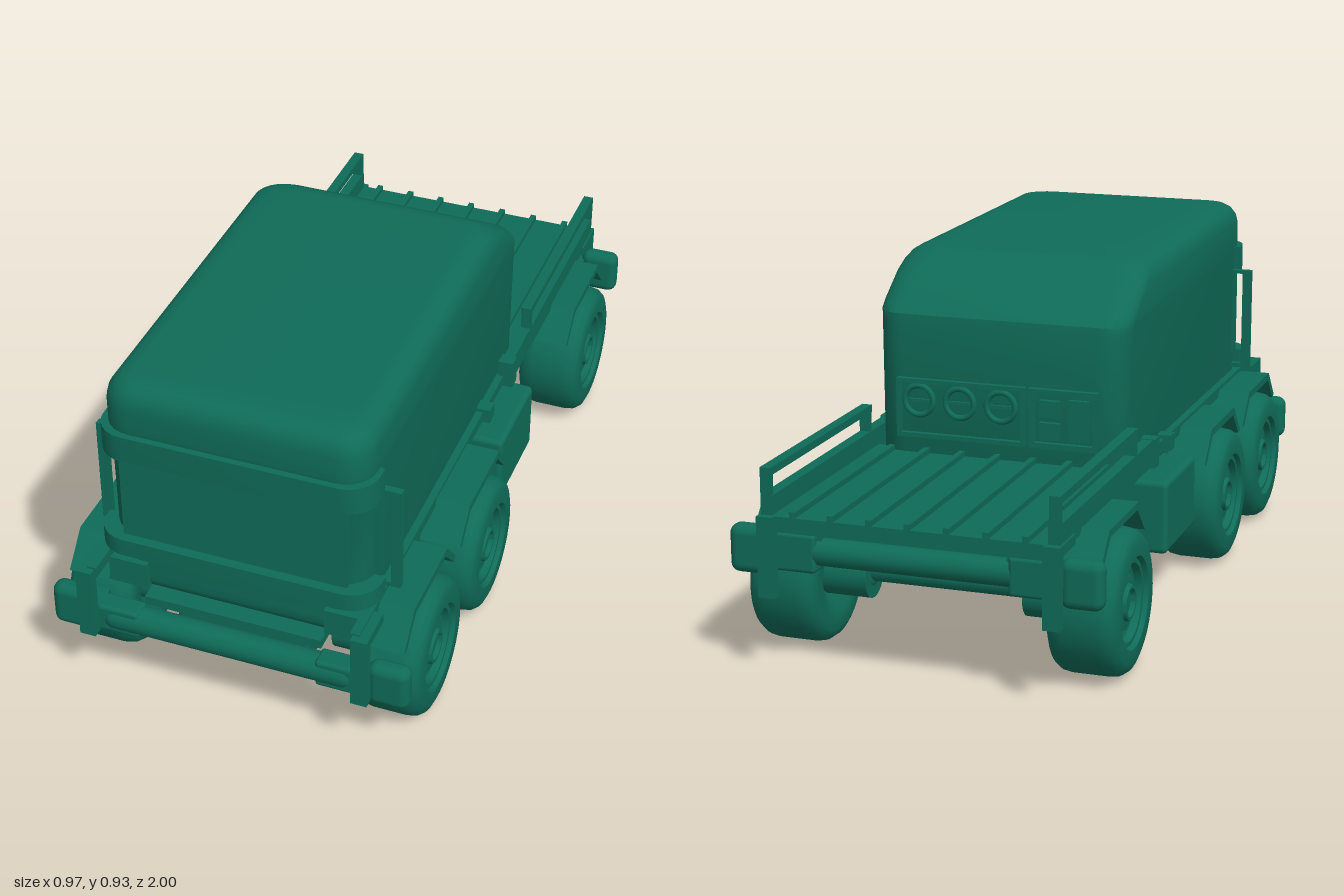
import * as THREE from 'three';
import { toCreasedNormals } from 'three/addons/utils/BufferGeometryUtils.js';
import { RoundedBoxGeometry } from 'three/addons/geometries/RoundedBoxGeometry.js';

const paint = new THREE.MeshStandardMaterial({ color: 0x0f6b58 });

// Outline of a rounded rectangle in x and z, running from +x towards +z
function ringPoints(hw, zf, zb, r, steps = 6) {
  const corners = [[hw - r, zf - r], [r - hw, zf - r], [r - hw, zb + r], [hw - r, zb + r]];
  const pts = [];
  corners.forEach(([cx, cz], k) => {
    for (let i = 0; i <= steps; i++) {
      const a = (k + i / steps) * Math.PI / 2;
      pts.push([cx + r * Math.cos(a), cz + r * Math.sin(a)]);
    }
  });
  return pts;
}

// Closed skin over rounded rectangles stacked in y: [y, halfWidth, zFront, zBack, radius]
function loft(sections) {
  const pos = [], idx = [];
  const rings = sections.map(([y, ...s]) => ringPoints(...s).map(([x, z]) => [x, y, z]));
  rings.forEach(r => r.forEach(p => pos.push(...p)));
  const n = rings[0].length, last = (rings.length - 1) * n;
  for (let i = 0; i < rings.length - 1; i++) {
    for (let j = 0; j < n; j++) {
      const a = i * n + j, b = i * n + (j + 1) % n;
      idx.push(a, a + n, b, b, a + n, b + n);
    }
  }
  for (let j = 1; j < n - 1; j++) {
    idx.push(0, j, j + 1, last, last + j + 1, last + j);
  }
  const g = new THREE.BufferGeometry();
  g.setAttribute('position', new THREE.Float32BufferAttribute(pos, 3));
  g.setIndex(idx);
  return toCreasedNormals(g, 0.6);
}

// Side profile given as [z, y], extruded from x0 to x1
function sideExtrude(points, x0, x1) {
  const shape = new THREE.Shape(points.map(([z, y]) => new THREE.Vector2(z, y)));
  const g = new THREE.ExtrudeGeometry(shape, { depth: x1 - x0, bevelEnabled: false });
  return g.rotateY(-Math.PI / 2).translate(x1, 0, 0);
}

export function createModel() {
  const model = new THREE.Group();
  const add = (name, geo) => {
    const m = new THREE.Mesh(geo, paint);
    m.name = name;
    model.add(m);
    return m;
  };
  // Box by its limits, optionally rounded
  const boxGeo = (x0, x1, y0, y1, z0, z1, r = 0) => {
    const size = [x1 - x0, y1 - y0, z1 - z0];
    const g = r ? new RoundedBoxGeometry(...size, 3, r) : new THREE.BoxGeometry(...size);
    return g.translate((x0 + x1) / 2, (y0 + y1) / 2, (z0 + z1) / 2);
  };
  const box = (name, ...a) => add(name, boxGeo(...a));
  // The same box on both sides
  const pair = (name, x0, x1, ...rest) => {
    box(name, x0, x1, ...rest);
    box(name, -x1, -x0, ...rest);
  };
  const rod = (name, a, b, r) => {
    const p = new THREE.Vector3(...a), q = new THREE.Vector3(...b);
    const m = add(name, new THREE.CapsuleGeometry(r, p.distanceTo(q), 6, 20));
    m.position.copy(p).lerp(q, 0.5);
    m.quaternion.setFromUnitVectors(new THREE.Vector3(0, 1, 0), q.sub(p).normalize());
  };

  // Cabin shell with sloping rear roof
  add('cabin', loft([
    [0.31, 0.325, 0.87, -0.29, 0.08], [0.335, 0.34, 0.885, -0.33, 0.08],
    [0.36, 0.345, 0.885, -0.34, 0.08], [0.77, 0.348, 0.885, -0.34, 0.08],
    [0.79, 0.35, 0.895, -0.336, 0.08], [0.81, 0.35, 0.895, -0.315, 0.08],
    [0.87, 0.35, 0.895, -0.225, 0.08], [0.895, 0.345, 0.89, -0.185, 0.08],
    [0.915, 0.332, 0.877, -0.152, 0.075], [0.926, 0.315, 0.86, -0.13, 0.07],
    [0.93, 0.292, 0.837, -0.105, 0.06]]));
  const band = (name, y0, y1, hw, zf, zb) => {
    const pts = ringPoints(hw, zf, -zf, 0.08).filter(p => p[1] > 0);
    const shape = new THREE.Shape([[hw, zb], ...pts, [-hw, zb]].map(([x, z]) => new THREE.Vector2(x, -z)));
    const g = new THREE.ExtrudeGeometry(shape, { depth: y1 - y0, bevelEnabled: false });
    add(name, toCreasedNormals(g.rotateX(-Math.PI / 2).translate(0, y0, 0), 0.6));
  };
  band('visorBand', 0.725, 0.8, 0.363, 0.912, 0.8);
  band('lowerBand', 0.43, 0.48, 0.373, 0.92, 0.82);
  box('windscreen', -0.3, 0.3, 0.48, 0.725, 0.86, 0.894);
  pair('windscreenPillar', 0.33, 0.357, 0.48, 0.725, 0.785, 0.805);

  // Grab handles beside the windscreen
  pair('grabHandle', 0.38, 0.405, 0.435, 0.733, 0.78, 0.8);
  pair('handleBracket', 0.34, 0.4, 0.723, 0.733, 0.78, 0.8);
  pair('handleFoot', 0.35, 0.4, 0.435, 0.447, 0.78, 0.8);

  // Instruments on the rear wall
  const frame = (name, x0, x1, y0, y1, t) => {
    box(name, x0, x1, y1 - t, y1, -0.355, -0.33);
    box(name, x0, x1, y0, y0 + t, -0.355, -0.33);
    box(name, x0, x0 + t, y0, y1, -0.355, -0.33);
    box(name, x1 - t, x1, y0, y1, -0.355, -0.33);
  };
  frame('gaugeFrame', -0.08, 0.28, 0.46, 0.62, 0.012);
  frame('switchFrame', -0.28, -0.09, 0.46, 0.62, 0.015);
  for (const x of [0.22, 0.105, -0.01]) {
    add('gaugeRim', new THREE.TorusGeometry(0.04, 0.008, 8, 24)).position.set(x, 0.56, -0.343);
    box('gaugeNeedle', x - 0.03, x + 0.03, 0.556, 0.564, -0.347, -0.335);
  }
  for (const y of [0.485, 0.545]) {
    box('switchBlock', -0.175, -0.12, y, y + 0.045, -0.355, -0.33);
  }
  box('switchPlate', -0.255, -0.2, 0.485, 0.595, -0.352, -0.33);

  // Lower hull and frame
  box('frontHull', -0.18, 0.18, 0.153, 0.34, 0.0, 0.86, 0.01);
  box('rearHull', -0.18, 0.18, 0.17, 0.37, -0.62, 0.0, 0.01);
  box('frontCrossPlate', -0.24, 0.24, 0.285, 0.31, 0.8, 0.92);
  pair('frameRail', 0.24, 0.345, 0.32, 0.395, -0.95, 0.9);
  pair('sillRail', 0.34, 0.365, 0.39, 0.42, -0.2, 0.98);
  pair('sillBlock', 0.34, 0.385, 0.388, 0.43, -0.02, 0.02);
  pair('sideTank', 0.2, 0.435, 0.16, 0.36, -0.23, 0.06, 0.015);

  // Flat bed with ribs and side rails
  box('bedFloor', -0.36, 0.36, 0.375, 0.415, -0.985, -0.3);
  for (let i = -3; i <= 3; i++) {
    box('bedRib', i * 0.1 - 0.008, i * 0.1 + 0.008, 0.41, 0.43, -0.985, -0.34);
  }
  pair('bedSideBoard', 0.355, 0.385, 0.395, 0.465, -0.98, -0.2);
  pair('sideBoardEnd', 0.35, 0.392, 0.388, 0.467, -0.2, -0.16);
  pair('bedRail', 0.357, 0.385, 0.515, 0.535, -0.98, -0.34);
  pair('bedRailPost', 0.357, 0.385, 0.46, 0.535, -0.98, -0.965);
  pair('bedRailPost', 0.357, 0.385, 0.46, 0.535, -0.36, -0.345);

  // Front and rear bumpers with corner lamps
  rod('frontBumper', [-0.31, 0.245, 0.94], [0.31, 0.245, 0.94], 0.038);
  pair('frontBumperEnd', 0.24, 0.36, 0.205, 0.285, 0.91, 0.97, 0.01);
  rod('rearBumper', [-0.32, 0.32, -0.935], [0.32, 0.32, -0.935], 0.035);
  pair('rearBumperEnd', 0.25, 0.36, 0.27, 0.37, -0.97, -0.9, 0.01);
  for (const s of [1, -1]) {
    const zs = (a, b) => s > 0 ? [a, b] : [-b, -a];
    const y = s > 0 ? 0.185 : 0.25;
    pair('bumperPost', 0.347, 0.39, 0.207, 0.415, ...zs(0.972, 1));
    pair('bumperPostArm', 0.347, 0.39, 0.388, 0.415, ...zs(0.88, 1));
    pair('bumperBracket', 0.347, 0.385, y + 0.03, y + 0.1, ...zs(0.9, 0.99));
    pair('cornerLamp', 0.375, 0.485, y, y + 0.125, ...zs(0.912, 0.968), 0.025);
  }

  // Wheels, axle stubs, swing arms and mudguards
  const tyre = [[0.04, -0.05], [0.11, -0.09], [0.155, -0.09], [0.172, -0.083], [0.183, -0.068],
    [0.187, -0.045], [0.187, 0.045], [0.183, 0.068], [0.172, 0.083], [0.155, 0.09], [0.118, 0.09],
    [0.112, 0.078], [0.1, 0.078], [0.095, 0.06], [0.075, 0.055], [0.07, 0.067], [0.048, 0.07],
    [0.044, 0.08], [0.036, 0.08], [0.033, 0.068], [0.0, 0.068]];
  const wheelGeo = toCreasedNormals(
    new THREE.LatheGeometry(tyre.map(p => new THREE.Vector2(...p)), 40), 0.6).rotateZ(-Math.PI / 2);
  const arms = [[0.71, 0.52, 0.25], [0.28, 0.5, 0.25], [-0.69, -0.42, 0.275]];
  for (const [z, armZ, armY] of arms) {
    const outer = [[z - 0.2, 0.325], [z - 0.125, 0.41], [z + 0.125, 0.41], [z + 0.2, 0.325]];
    const inner = [[z + 0.18, 0.32], [z + 0.115, 0.39], [z - 0.115, 0.39], [z - 0.18, 0.32]];
    for (const s of [1, -1]) {
      const wheel = add('wheel', wheelGeo);
      wheel.position.set(s * 0.395, 0.187, z);
      if (s < 0) wheel.rotation.y = Math.PI;
      const stub = add('axleStub', new THREE.CylinderGeometry(0.062, 0.062, 0.17, 24));
      stub.rotation.z = Math.PI / 2;
      stub.position.set(s * 0.295, 0.187, z);
      rod('swingArm', [s * 0.255, 0.187, z], [s * 0.255, armY, armZ], 0.055);
      const x0 = s > 0 ? 0.345 : -0.455;
      add('mudguard', sideExtrude([...outer, ...inner], x0, x0 + 0.11));
    }
    const axle = add('axle', new THREE.CylinderGeometry(0.03, 0.03, 0.5, 16));
    axle.rotation.z = Math.PI / 2;
    axle.position.set(0, 0.2, z);
  }
  return model;
}
